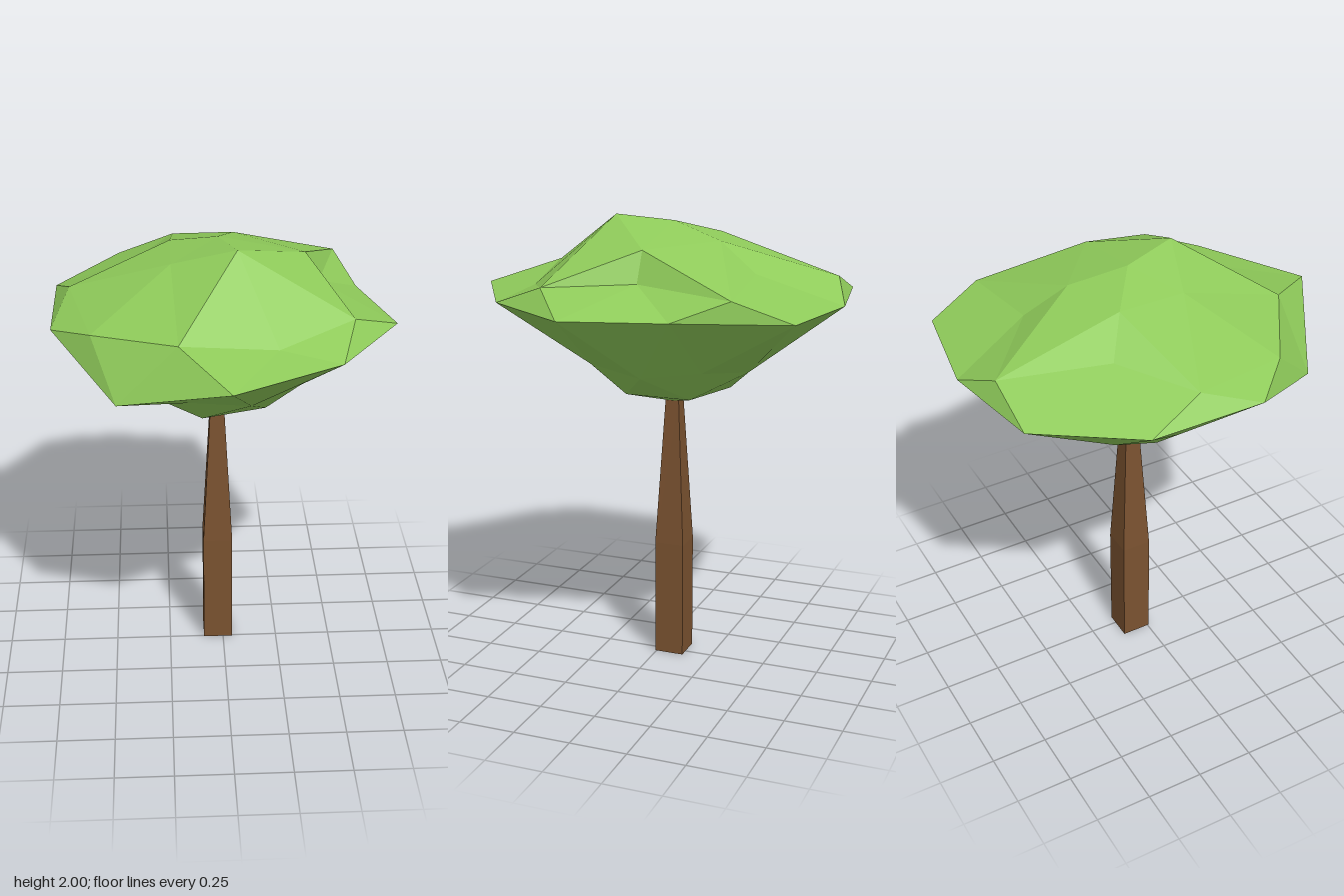
import * as THREE from 'three';

const CX = -0.02, CZ = -0.06;

// Five points around the trunk axis
function ring(radius, y, startDeg) {
  return Array.from({ length: 5 }, (_, k) => {
    const a = THREE.MathUtils.degToRad(startDeg + 72 * k);
    return [CX + radius * Math.cos(a), y, CZ + radius * Math.sin(a)];
  });
}

// Half of a subdivided icosahedron: pole, inner ring, outer ring and the
// midpoints between its corners, joined to the ten rim points
function dome(out, pole, inner, outer, mid, rim, flip) {
  const tri = (a, b, c) => out.push(...a, ...(flip ? c : b), ...(flip ? b : c));
  for (let k = 0; k < 5; k++) {
    const n = (k + 1) % 5;
    const e0 = rim[(2 * k + 9) % 10], e1 = rim[2 * k], e2 = rim[2 * k + 1];
    tri(pole, inner[k], inner[n]);
    tri(inner[k], outer[k], mid[k]);
    tri(inner[k], mid[k], inner[n]);
    tri(inner[n], mid[k], outer[n]);
    tri(outer[k], e0, e1);
    tri(outer[k], e1, mid[k]);
    tri(mid[k], e1, e2);
    tri(mid[k], e2, outer[n]);
  }
}

export function createModel() {
  const group = new THREE.Group();
  const bark = new THREE.MeshStandardMaterial({ color: 0x7a5230, flatShading: true });
  const leaf = new THREE.MeshStandardMaterial({ color: 0x8fcb5a, flatShading: true });

  // Square trunk: straight below, tapering above
  const trunk = new THREE.Group();
  trunk.name = 'trunk';
  const post = (name, top, bottom, y0, y1) => {
    const geo = new THREE.CylinderGeometry(top * Math.SQRT2, bottom * Math.SQRT2, y1 - y0, 4);
    geo.rotateY(Math.PI / 4);
    const mesh = new THREE.Mesh(geo, bark);
    mesh.name = name;
    mesh.position.set(-0.024, (y0 + y1) / 2, CZ);
    trunk.add(mesh);
  };
  post('lowerTrunk', 0.066, 0.066, 0, 0.53);
  post('upperTrunk', 0.03, 0.066, 0.53, 1.2);
  group.add(trunk);

  // Wide rim of the crown, clockwise seen from above
  const rim = [
    [0.72, 0.16], [0.45, 0.56], [0, 0.82], [-0.45, 0.56], [-0.72, 0.16],
    [-0.72, -0.34], [-0.45, -0.74], [0, -0.82], [0.45, -0.74], [0.6, -0.27],
  ].map(([x, z]) => [x, 1.66, z]);
  rim[3][1] = 1.5;

  // Upper crown, with a few points pulled out of the regular rings
  const inner = ring(0.247, 1.91, 0);
  inner[0] = [0.35, 1.9, -0.06];
  inner[1] = [0.05, 2.0, 0.18];
  const outer = ring(0.43, 1.79, 0);
  outer[0][1] = 1.77;
  outer[1] = [0.2, 1.7, 0.5];
  outer[2] = [-0.55, 1.71, 0.34];
  const mid = [
    [0.52, 1.75, 0.32], [-0.2, 1.75, 0.56], [-0.65, 1.75, -0.09],
    [-0.2, 1.75, -0.74], [0.52, 1.75, -0.5],
  ];
  const points = [];
  dome(points, [CX, 1.975, CZ], inner, outer, mid, rim, true);

  // Lower crown, turned by half a step
  const shifted = [...rim.slice(1), rim[0]];
  dome(points, [CX, 1.18, CZ], ring(0.247, 1.245, 36), ring(0.42, 1.4, 36),
    ring(0.4, 1.37, 72), shifted, false);

  const geo = new THREE.BufferGeometry();
  geo.setAttribute('position', new THREE.Float32BufferAttribute(points, 3));
  geo.computeVertexNormals();
  const crown = new THREE.Mesh(geo, leaf);
  crown.name = 'crown';
  group.add(crown);
  return group;
}
